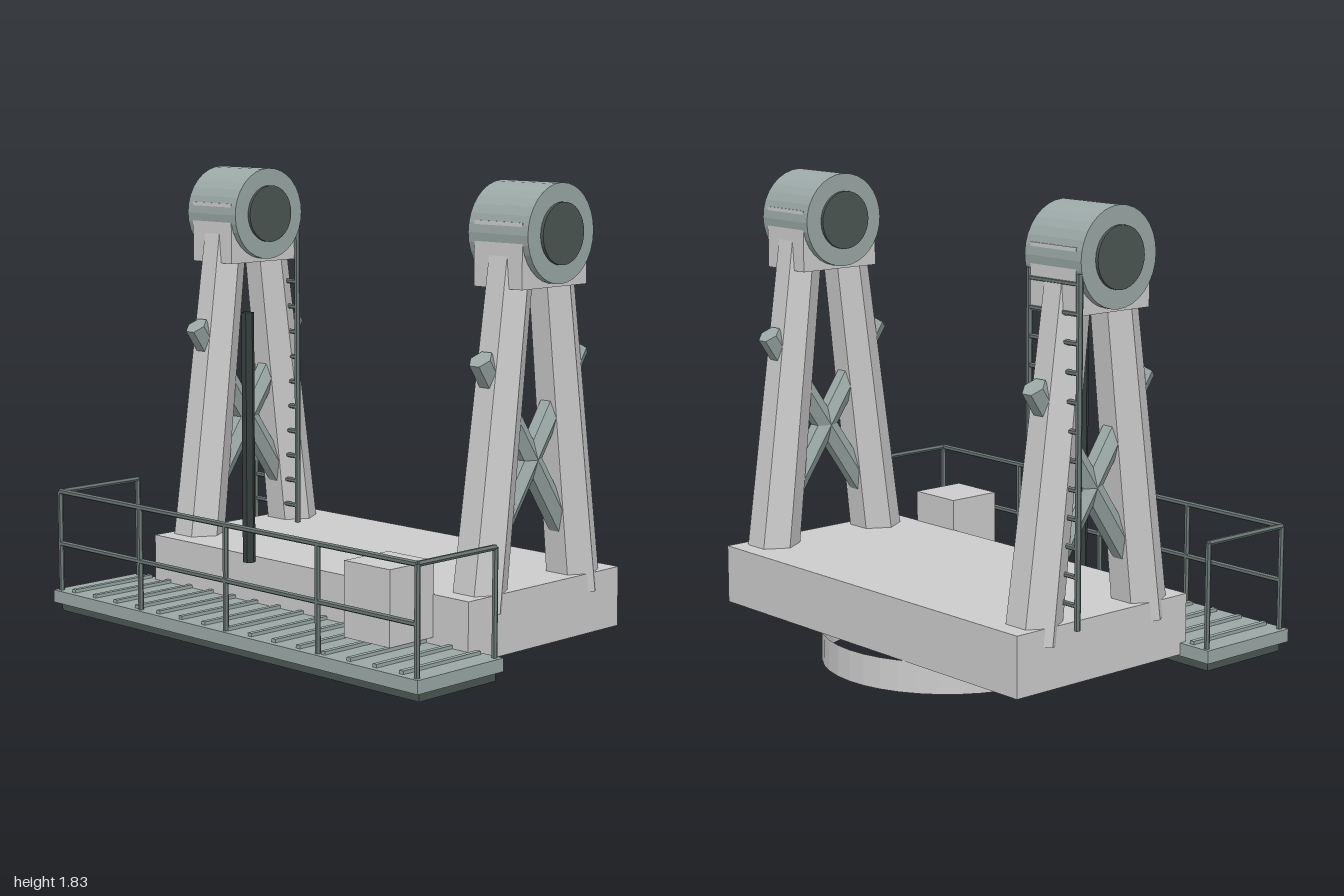
import * as THREE from 'three';

const material = (color, extra = {}) =>
  new THREE.MeshStandardMaterial({ color, flatShading: true, ...extra });

const pale = material(0xcccccc);
const paleOpen = material(0xcccccc, { side: THREE.DoubleSide });
const steel = material(0x9aa8a6);
const railGrey = material(0x6b7876);
const dark = material(0x4c5654);
const black = material(0x353f3d);

const UP = new THREE.Vector3(0, 1, 0);
const AXIS_Z = -0.175; // depth of the tower centre line

function add(parent, name, geometry, mat, x = 0, y = 0, z = 0) {
  const mesh = new THREE.Mesh(geometry, mat);
  mesh.name = name;
  mesh.position.set(x, y, z);
  parent.add(mesh);
  return mesh;
}

// Box given by its minimum and maximum corners
function block(parent, name, mat, [x0, y0, z0], [x1, y1, z1]) {
  return add(parent, name, new THREE.BoxGeometry(x1 - x0, y1 - y0, z1 - z0), mat,
    (x0 + x1) / 2, (y0 + y1) / 2, (z0 + z1) / 2);
}

// Six-sided bar from a to b, with corners turned towards x
function bar(parent, name, mat, a, b, rA, rB = rA) {
  const start = new THREE.Vector3(...a);
  const end = new THREE.Vector3(...b);
  const dir = end.clone().sub(start);
  const geometry = new THREE.CylinderGeometry(rB, rA, dir.length(), 6, 1, false, Math.PI / 6);
  const mesh = add(parent, name, geometry, mat);
  mesh.position.copy(start).add(end).multiplyScalar(0.5);
  mesh.quaternion.setFromUnitVectors(UP, dir.normalize());
  return mesh;
}

function makeTower(name, x) {
  const tower = new THREE.Group();
  tower.name = name;
  tower.position.set(x, 0, AXIS_Z);

  for (const s of [1, -1]) {
    // Tapered leg leaning in towards the head
    bar(tower, 'leg', pale, [0, 0.28, s * 0.27], [0, 1.6, s * 0.1], 0.105, 0.086);
    // One half of the cross bracing
    bar(tower, 'crossBrace', steel, [0, 1.2, s * 0.27], [0, 0.42, s * -0.265], 0.047);
  }

  // Bearing block, drum and end caps
  block(tower, 'bearingBlock', pale, [-0.115, 1.45, -0.18], [0.115, 1.69, 0.18]);
  const drum = add(tower, 'bearingDrum', new THREE.CylinderGeometry(0.183, 0.183, 0.285, 32), steel, 0, 1.645, 0);
  const cap = add(tower, 'bearingCap', new THREE.CylinderGeometry(0.114, 0.114, 0.31, 32), dark, 0, 1.645, 0);
  drum.rotation.z = cap.rotation.z = Math.PI / 2;
  return tower;
}

function makeLadder() {
  const ladder = new THREE.Group();
  ladder.name = 'ladder';
  const xs = [-0.9, -0.645];
  const z = -0.35;
  for (const x of xs) bar(ladder, 'ladderRail', railGrey, [x, 0.33, z], [x, 1.6, z], 0.012);
  for (let i = 0; i < 12; i++) {
    const y = 0.42 + i * 0.104;
    bar(ladder, 'ladderRung', railGrey, [xs[0], y, z], [xs[1], y, z], 0.01);
  }
  return ladder;
}

function makeWalkway() {
  const walkway = new THREE.Group();
  walkway.name = 'walkway';
  block(walkway, 'deck', steel, [-1, 0.115, 0.22], [1, 0.165, 0.663]);
  block(walkway, 'deckUnderside', dark, [-0.98, 0.08, 0.24], [0.98, 0.115, 0.635]);

  // Tread slats across the deck
  for (let i = 0; i < 15; i++) {
    const x = -0.9 + i * (1.8 / 14);
    block(walkway, 'slat', steel, [x - 0.01, 0.165, 0.24], [x + 0.01, 0.178, 0.64]);
  }

  // Railing on the front and both ends
  const front = 0.64, back = 0.24, end = 0.975, top = 0.565, r = 0.011;
  for (let i = -2; i <= 2; i++) {
    const x = i * end / 2;
    bar(walkway, 'railPost', railGrey, [x, 0.16, front], [x, top, front], r);
  }
  for (const y of [0.355, top]) {
    bar(walkway, 'frontRail', railGrey, [-end, y, front], [end, y, front], r);
  }
  for (const x of [-end, end]) {
    bar(walkway, 'railPost', railGrey, [x, 0.16, back], [x, top, back], r);
    bar(walkway, 'endRail', railGrey, [x, top, back], [x, top, front], r);
  }
  return walkway;
}

export function createModel() {
  const model = new THREE.Group();
  model.name = 'twinTowerPlatform';

  // Turning ring and main base
  add(model, 'turningRing', new THREE.CylinderGeometry(0.49, 0.49, 0.122, 40, 1, true), paleOpen, 0, 0.061, AXIS_Z);
  block(model, 'base', pale, [-0.858, 0.12, -0.6], [0.858, 0.35, 0.25]);

  // Two towers, with the ladder behind the right one
  model.add(makeTower('rightTower', -0.77), makeTower('leftTower', 0.767));
  model.add(makeLadder());

  // Walkway, control box and mast
  model.add(makeWalkway());
  block(model, 'controlBox', pale, [0.455, 0.19, 0.245], [0.685, 0.475, 0.475]);
  bar(model, 'mast', black, [-0.27, 0.33, 0.273], [-0.27, 1.305, 0.273], 0.025);

  return model;
}
